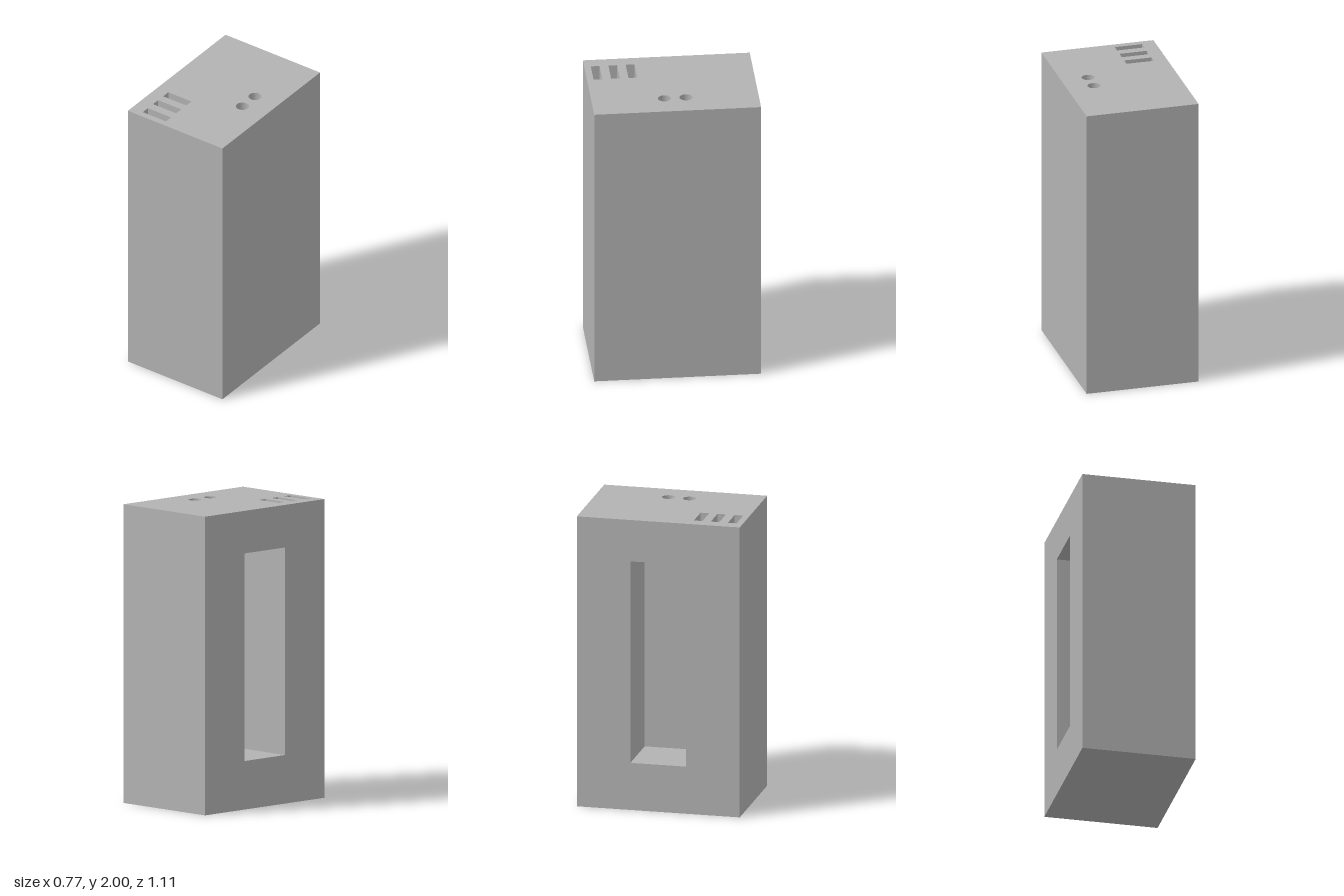
import * as THREE from 'three';

const W = 0.77, H = 2, D = 1.11;

// Closed outline of a rectangle in the panel's own plane
function rect(x0, y0, x1, y1) {
  return [[x0, y0], [x1, y0], [x1, y1], [x0, y1]].map(p => new THREE.Vector2(...p));
}

function circle(x, y, r) {
  return new THREE.Path().absarc(x, y, r, 0, Math.PI * 2).getPoints(20).slice(0, -1);
}

// Inward-facing walls and floor of a recess whose open mouth lies at z = 0
function recessGeometry(points, depth) {
  const solid = new THREE.ExtrudeGeometry(new THREE.Shape(points), { depth, bevelEnabled: false });
  solid.translate(0, 0, -depth);
  const p = solid.attributes.position, out = [];
  for (let i = 0; i < p.count; i += 3) {
    if ([0, 1, 2].every(k => p.getZ(i + k) > -1e-6)) continue;
    for (const k of [0, 2, 1]) out.push(p.getX(i + k), p.getY(i + k), p.getZ(i + k));
  }
  const g = new THREE.BufferGeometry();
  g.setAttribute('position', new THREE.Float32BufferAttribute(out, 3));
  g.computeVertexNormals();
  return g;
}

export function createModel() {
  const model = new THREE.Group();
  const grey = new THREE.MeshStandardMaterial({ color: 0xb2b2b2 });
  grey.name = 'plain grey';

  // Flat panel facing +z before rotation, pierced by its recesses
  function addPanel(name, w, h, position, rotation, recesses = []) {
    const group = new THREE.Group();
    group.name = name;
    const shape = new THREE.Shape(rect(-w / 2, -h / 2, w / 2, h / 2));
    for (const r of recesses) {
      shape.holes.push(new THREE.Path(r.points));
      const mesh = new THREE.Mesh(recessGeometry(r.points, r.depth), grey);
      mesh.name = r.name;
      group.add(mesh);
    }
    const face = new THREE.Mesh(new THREE.ShapeGeometry(shape), grey);
    face.name = name + 'Face';
    group.add(face);
    group.position.set(...position);
    group.rotation.set(...rotation);
    model.add(group);
  }

  // Three slots and two round sockets in the top (panel y is -z)
  const topRecesses = [
    ...[0.25, 0.365, 0.482].map(z => ({
      name: 'slot', depth: 0.1, points: rect(-0.295, -z - 0.029, -0.107, -z + 0.029),
    })),
    ...[-0.073, 0.07].map(z => ({
      name: 'roundSocket', depth: 0.1, points: circle(0.2, -z, 0.043),
    })),
  ];

  // Tall pocket in the -x side
  const pocket = { name: 'sidePocket', depth: 0.4, points: rect(-0.19, 0.325 - H / 2, 0.19, 1.715 - H / 2) };

  const q = Math.PI / 2;
  addPanel('front', W, H, [0, H / 2, D / 2], [0, 0, 0]);
  addPanel('back', W, H, [0, H / 2, -D / 2], [0, Math.PI, 0]);
  addPanel('leftSide', D, H, [W / 2, H / 2, 0], [0, q, 0]);
  addPanel('rightSide', D, H, [-W / 2, H / 2, 0], [0, -q, 0], [pocket]);
  addPanel('top', W, D, [0, H, 0], [-q, 0, 0], topRecesses);
  addPanel('bottom', W, D, [0, 0, 0], [q, 0, 0]);
  return model;
}
